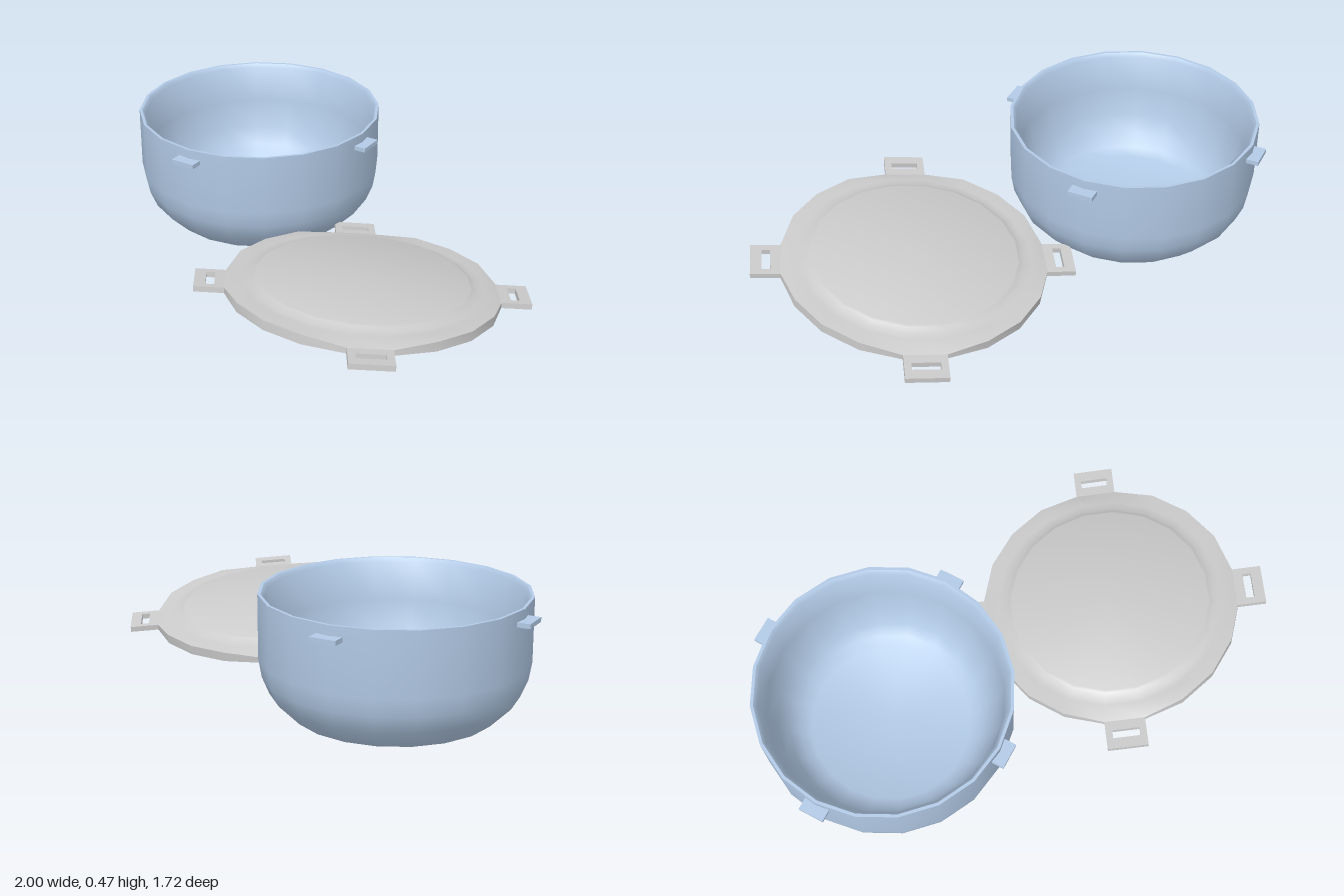
import * as THREE from 'three';
import { toCreasedNormals } from 'three/addons/utils/BufferGeometryUtils.js';

const SIDES = 20;
const blue = new THREE.MeshStandardMaterial({ color: 0xb2cae6 });
const grey = new THREE.MeshStandardMaterial({ color: 0xcccccc });

// Turned solid: profile runs from the underside centre, outwards, up and back to the axis
function turned(profile, phiStart = 0) {
  return new THREE.LatheGeometry(profile.map(([r, y]) => new THREE.Vector2(r, y)), SIDES, phiStart);
}

function addMesh(parent, name, geometry, material) {
  const mesh = new THREE.Mesh(geometry, material);
  mesh.name = name;
  parent.add(mesh);
  return mesh;
}

// Four copies of a part that points along +x, spread around the axis
function fourAround(parent, name, geometry, material) {
  for (let i = 0; i < 4; i++) {
    addMesh(parent, name, geometry, material).rotation.y = i * Math.PI / 2;
  }
}

function makeBowl() {
  const bowl = new THREE.Group();
  bowl.name = 'bowl';
  const body = turned([
    [0, 0.02], [0.32, 0.02], [0.36, 0.014], [0.393, 0],             // softly recessed base
    [0.475, 0.082], [0.503, 0.15], [0.515, 0.22], [0.515, 0.47],    // outer wall
    [0.503, 0.47], [0.49, 0.455],                                   // bevelled rim
    [0.475, 0.3], [0.45, 0.18], [0.415, 0.1],                       // tapering inner wall
    [0.375, 0.05], [0.33, 0.028], [0, 0.028],                       // floor
  ]);
  addMesh(bowl, 'bowlBody', toCreasedNormals(body, 0.75), blue);

  // Small catches below the rim
  const catchGeometry = new THREE.BoxGeometry(0.06, 0.018, 0.104);
  catchGeometry.translate(0.527, 0.423, 0);
  fourAround(bowl, 'bowlCatch', catchGeometry, blue);
  return bowl;
}

function makeLid() {
  const lid = new THREE.Group();
  lid.name = 'lid';
  const tabHeight = 0.022;
  const body = turned([
    [0, 0], [0.533, 0], [0.533, 0.038], [0.47, 0.042], [0.44, 0.042], // flat underside and rim
    [0.42, 0.056], [0.41, 0.06], [0, 0.06],                           // raised centre panel
  ], Math.PI / SIDES);

  // The rim ramps down to meet each tab
  const position = body.attributes.position;
  for (let i = 0; i < position.count; i++) {
    const x = position.getX(i), z = position.getZ(i);
    const besideTab = Math.abs(Math.cos(2 * Math.atan2(z, x))) > 0.9;
    if (besideTab && Math.hypot(x, z) > 0.5 && position.getY(i) > tabHeight) {
      position.setY(i, tabHeight);
    }
  }
  addMesh(lid, 'lidBody', toCreasedNormals(body, 0.75), grey);

  // Slotted clip tabs
  const corners = (points) => points.map(([x, y]) => new THREE.Vector2(x, y));
  const outline = new THREE.Shape(corners(
    [[0.515, -0.083], [0.644, -0.083], [0.644, 0.083], [0.515, 0.083]]));
  outline.holes.push(new THREE.Path(corners(
    [[0.566, -0.055], [0.566, 0.055], [0.6, 0.055], [0.6, -0.055]])));
  const tabGeometry = new THREE.ExtrudeGeometry(outline, { depth: tabHeight, bevelEnabled: false });
  tabGeometry.rotateX(-Math.PI / 2);
  fourAround(lid, 'lidTab', tabGeometry, grey);
  return lid;
}

export function createModel() {
  const model = new THREE.Group();
  model.name = 'bowlWithLid';

  const bowl = makeBowl();
  bowl.position.set(-0.445, 0, -0.303);
  model.add(bowl);

  // The lid is turned about its own axis, then leans up towards the front
  const lid = makeLid();
  lid.rotation.y = 0.58;
  const leaningLid = new THREE.Group();
  leaningLid.name = 'leaningLid';
  leaningLid.rotation.x = -0.127;
  leaningLid.position.set(0.415, 0.114, 0.276);
  leaningLid.add(lid);
  model.add(leaningLid);
  return model;
}
